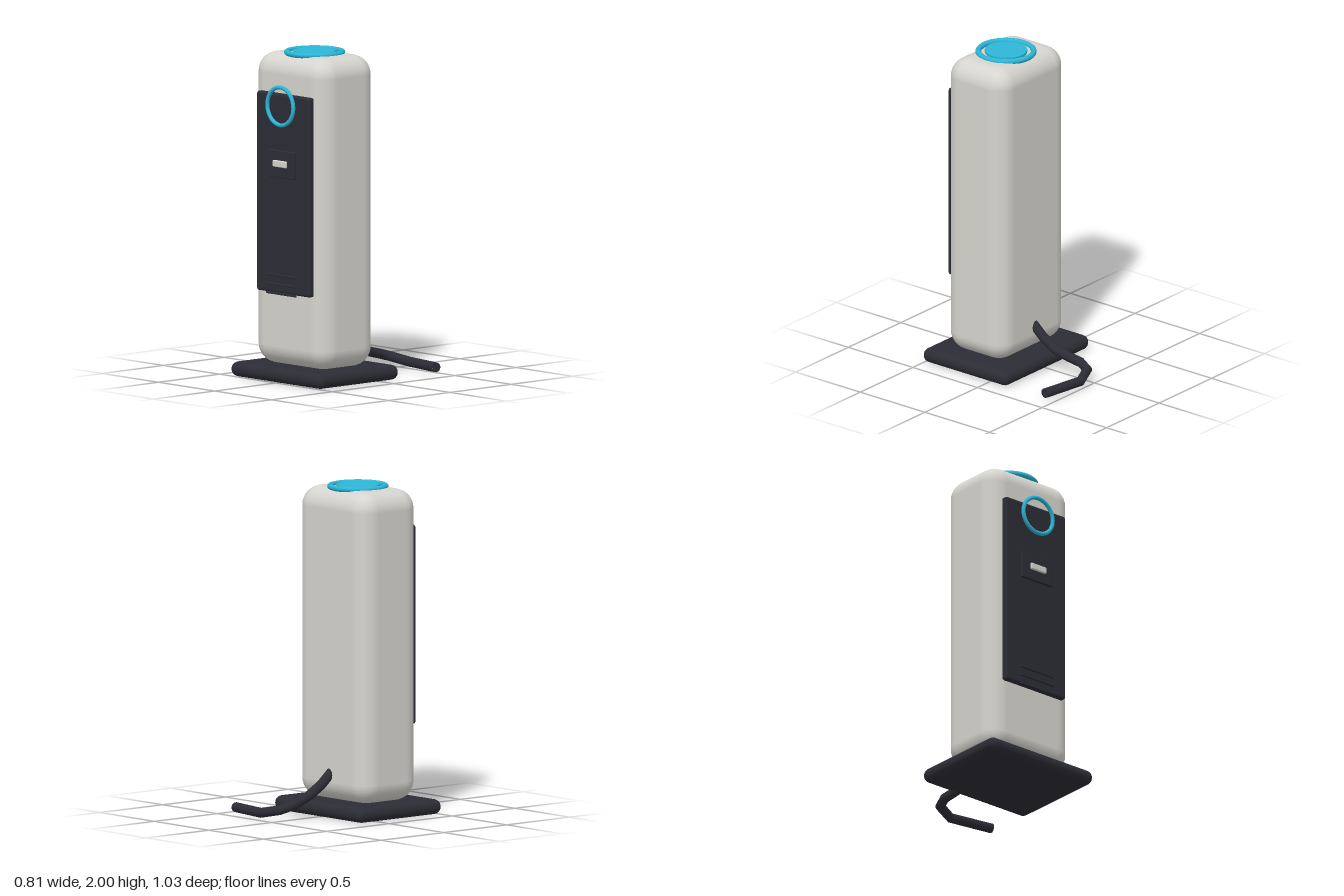
import * as THREE from 'three';
import { RoundedBoxGeometry } from 'three/addons/geometries/RoundedBoxGeometry.js';

// Straight-segment path with one tube ring per corner
class Polyline extends THREE.Curve {
  constructor(points) { super(); this.points = points; }
  getPoint(t, target = new THREE.Vector3()) {
    const n = this.points.length - 1;
    const i = Math.min(Math.floor(t * n), n - 1);
    return target.lerpVectors(this.points[i], this.points[i + 1], t * n - i);
  }
  getPointAt(u, target) { return this.getPoint(u, target); }
  getTangentAt(u, target) { return this.getTangent(u, target); }
}

export function createModel() {
  const group = new THREE.Group();
  const make = (name, color) => {
    const m = new THREE.MeshStandardMaterial({ color });
    m.name = name;
    return m;
  };
  const shell = make('warmGrey', 0xd6d4ce);
  const dark = make('charcoal', 0x2c2c35);
  const cyan = make('cyan', 0x2cb6d6);

  const add = (name, geometry, material, x, y, z) => {
    const mesh = new THREE.Mesh(geometry, material);
    mesh.name = name;
    mesh.position.set(x, y, z);
    group.add(mesh);
    return mesh;
  };
  const box = (name, w, h, d, r, material, x, y, z, seg = 4) =>
    add(name, new RoundedBoxGeometry(w, h, d, seg, r), material, x, y, z);

  // Foot plate and pillar
  box('base', 0.81, 0.09, 0.66, 0.044, dark, 0, 0.05, 0.185);
  box('body', 0.64, 1.89, 0.46, 0.12, shell, 0, 1.035, 0.185);

  // Front panel with reader and slot
  box('frontPanel', 0.47, 1.21, 0.05, 0.015, dark, 0, 1.145, 0.421, 2);
  box('reader', 0.24, 0.165, 0.03, 0.005, dark, 0, 1.327, 0.448, 2);
  box('readerSlot', 0.118, 0.04, 0.02, 0.006, shell, 0, 1.33, 0.467, 2);

  // Vent bars
  for (const y of [0.54, 0.595, 0.65]) box('ventBar', 0.26, 0.014, 0.014, 0.004, dark, 0, y, 0.456, 2);

  // Status ring on the front
  add('frontRing', new THREE.TorusGeometry(0.115, 0.0125, 12, 48), cyan, 0, 1.68, 0.465);

  // Light on the top
  add('topRing', new THREE.TorusGeometry(0.167, 0.0175, 12, 48), cyan, 0, 1.9825, 0.185).rotation.x = Math.PI / 2;
  add('topLight', new THREE.CylinderGeometry(0.128, 0.128, 0.03, 48), cyan, 0, 1.978, 0.185);

  // Power cable trailing from the back
  const path = [
    [0, 0.31, 0.02], [0, 0.25, -0.045], [0, 0.195, -0.11], [0, 0.143, -0.2], [-0.015, 0.115, -0.29],
    [-0.028, 0.096, -0.37], [-0.005, 0.075, -0.44], [0.115, 0.05, -0.485], [0.4, 0.05, -0.44],
  ].map((p) => new THREE.Vector3(...p));
  add('cable', new THREE.TubeGeometry(new Polyline(path), path.length - 1, 0.03, 12), dark, 0, 0, 0);
  const end = path[path.length - 1];
  const cap = add('cableEnd', new THREE.CircleGeometry(0.03, 12), dark, end.x, end.y, end.z);
  cap.lookAt(end.clone().multiplyScalar(2).sub(path[path.length - 2]));

  return group;
}
